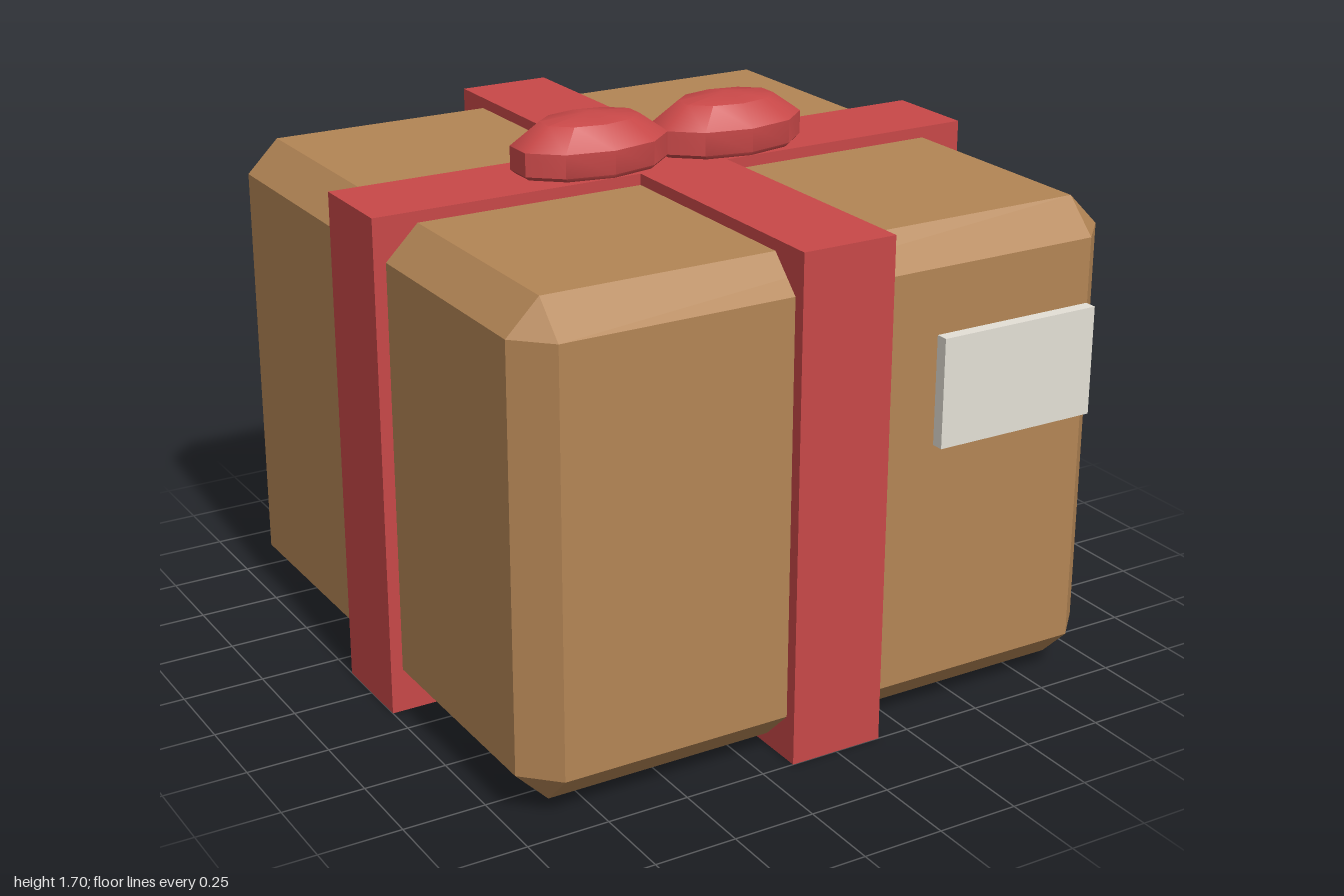
import * as THREE from 'three';
import { toCreasedNormals } from 'three/addons/utils/BufferGeometryUtils.js';
import { ConvexGeometry } from 'three/addons/geometries/ConvexGeometry.js';

const cardboard = new THREE.MeshStandardMaterial({ color: 0xb38555 });
const red = new THREE.MeshStandardMaterial({ color: 0xc84848 });
const paper = new THREE.MeshStandardMaterial({ color: 0xe4e0d6 });

// Box with every edge cut at 45 degrees
function chamferedBox(w, h, d, c) {
  const points = [];
  for (const x of [-w / 2, w / 2])
    for (const y of [-h / 2, h / 2])
      for (const z of [-d / 2, d / 2]) {
        const sx = Math.sign(x) * c, sy = Math.sign(y) * c, sz = Math.sign(z) * c;
        points.push(
          new THREE.Vector3(x, y - sy, z - sz),
          new THREE.Vector3(x - sx, y, z - sz),
          new THREE.Vector3(x - sx, y - sy, z));
      }
  return new ConvexGeometry(points);
}

export function createModel() {
  const model = new THREE.Group();
  model.name = 'giftBox';

  const add = (name, geometry, material, x, y, z) => {
    const mesh = new THREE.Mesh(geometry, material);
    mesh.name = name;
    mesh.position.set(x, y, z);
    model.add(mesh);
    return mesh;
  };

  // Cardboard parcel
  add('box', chamferedBox(1.925, 1.46, 1.925, 0.1), cardboard, 0, 0.766, 0);

  // Two ribbon bands crossing over the top and bottom
  const height = 1.53, width = 0.296;
  add('ribbonFrontToBack', new THREE.BoxGeometry(width, height, 2), red, 0, height / 2, 0);
  add('ribbonSideToSide', new THREE.BoxGeometry(2, height, width), red, 0, height / 2, 0);

  // Bow: two ten-sided domed loops, flattened front to back
  const profile = [[0, 0], [0.236, 0], [0.25, 0.012], [0.25, 0.083], [0.158, 0.147], [0, 0.166]]
    .map(([r, y]) => new THREE.Vector2(r, y));
  const loop = new THREE.LatheGeometry(profile, 10);
  loop.scale(1, 1, 0.62);
  const loopGeometry = toCreasedNormals(loop, 0.62);
  for (const [name, side] of [['leftBowLoop', 1], ['rightBowLoop', -1]])
    add(name, loopGeometry, red, side * 0.234, height, 0);

  // Address label on the front
  add('label', new THREE.BoxGeometry(0.53, 0.33, 0.06), paper, 0.595, 1.034, 0.97);

  return model;
}
